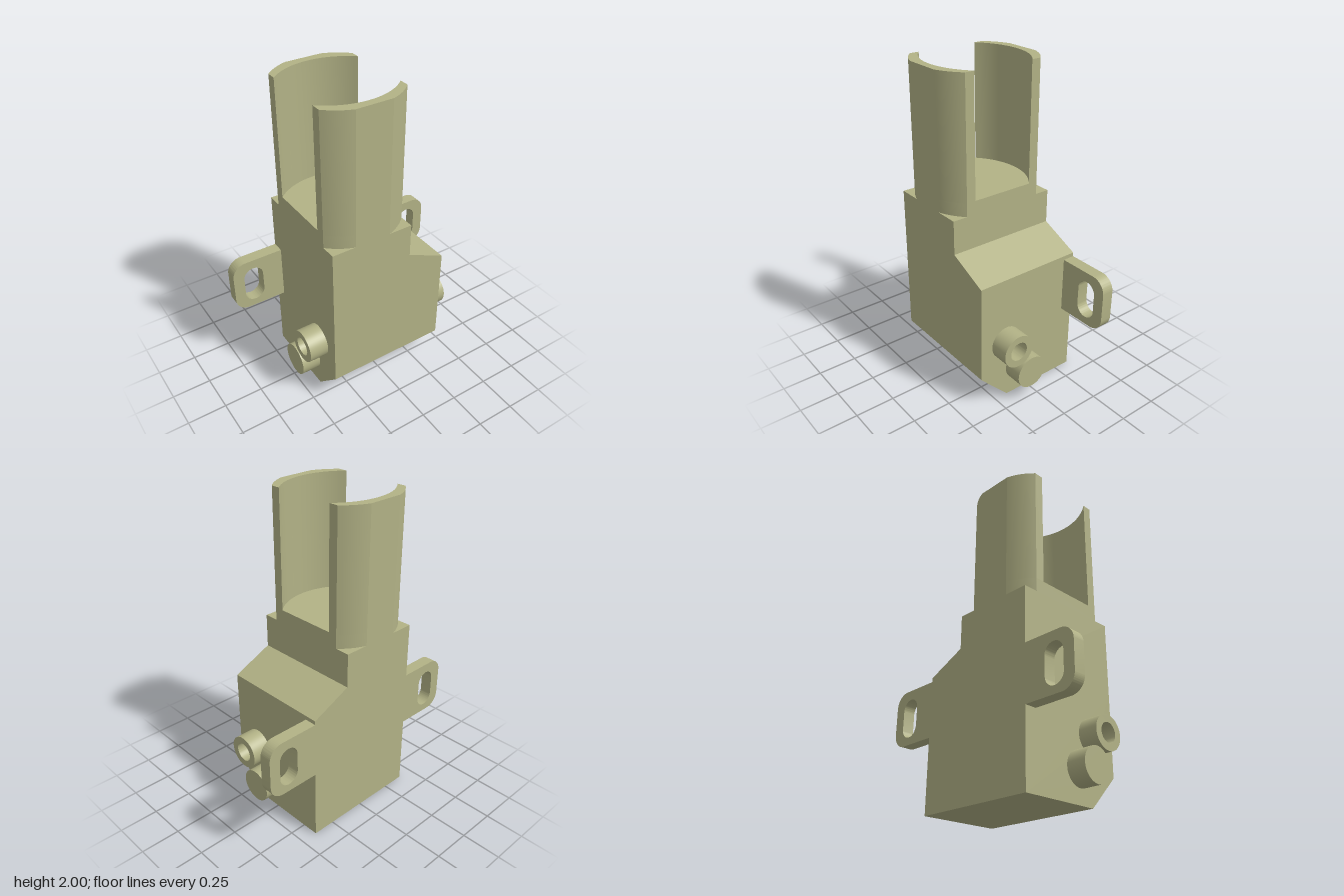
import * as THREE from 'three';
import { toCreasedNormals } from 'three/addons/utils/BufferGeometryUtils.js';

const W = 0.395, D = 0.355;            // half width and half depth of the body
const TX = 0.14, CX = (TX - W) / 2;    // right edge and centre line of the tower
const STEP = 0.7, LEDGE = 1.165, FLOOR = 1.25, TOP = 2;

const polygon = (points) => new THREE.Shape(points.map(([x, y]) => new THREE.Vector2(x, y)));

const circle = (x, y, r) => new THREE.Path().absarc(x, y, r, 0, Math.PI * 2, true);

function extrude(shape, depth) {
  return new THREE.ExtrudeGeometry(shape, { depth, bevelEnabled: false, curveSegments: 24 });
}

// Points of a circular arc bulging to +z, evaluated between two x positions
function arc(r, zc, x0, x1, n) {
  return Array.from({ length: n + 1 }, (_, i) => {
    const x = x0 + (x1 - x0) * i / n;
    return [x, zc + Math.sqrt(r * r - (x - CX) ** 2)];
  });
}

export function createModel() {
  const model = new THREE.Group();
  model.name = 'bracketHousing';
  const material = new THREE.MeshStandardMaterial({ color: 0xb2b286 });

  function add(name, geometry) {
    const mesh = new THREE.Mesh(toCreasedNormals(geometry, 0.2), material);
    mesh.name = name;
    model.add(mesh);
  }

  // Side profiles are drawn with x = -z and extruded along x
  const alongX = (shape, x0, x1) => extrude(shape, x1 - x0).rotateY(Math.PI / 2).translate(x0, 0, 0);
  // Plan profiles are extruded upwards
  const alongY = (shape, y0, y1) => extrude(shape, y1 - y0).rotateX(-Math.PI / 2).translate(0, y0, 0);

  // Lower body: chamfered front edge and a bore right through it
  const lower = polygon([[D, 0], [D, STEP], [-D, STEP], [-D, 0.2], [-0.16, 0]]);
  lower.holes.push(circle(-0.17, 0.4, 0.06));
  add('lowerBody', alongX(lower, -W, W));

  // Upper body: sloped shoulder on the left side
  const upper = polygon([[-W, STEP], [W, STEP], [W, 0.835], [TX, 0.95], [TX, LEDGE], [-W, LEDGE]]);
  add('upperBody', extrude(upper, 2 * D).translate(0, 0, -D));

  // Tower: curved outside, cut flat where it meets the front and back faces
  const R = 0.373, flat = Math.sqrt(R * R - D * D);
  const outer = [...arc(R, 0, -W, CX - flat, 8), ...arc(R, 0, CX + flat, TX, 8)];
  const inner = arc(0.394, -0.089, TX, -W, 24);
  const mirrored = outer.map(([x, z]) => [x, -z]).reverse();
  add('towerBase', alongY(polygon([...outer, ...mirrored]), LEDGE, FLOOR));
  const wall = polygon([...outer, ...inner]);
  add('backWall', alongY(wall, FLOOR, TOP));
  add('frontWall', alongY(wall, FLOOR, TOP).rotateY(Math.PI).translate(2 * CX, 0, 0));

  // Slotted mounting ear
  const ear = new THREE.Shape();
  const x1 = 0.733, y0 = 0.457, y1 = 0.81, r = 0.09;
  ear.moveTo(W, y0);
  ear.lineTo(x1 - r, y0);
  ear.absarc(x1 - r, y0 + r, r, -Math.PI / 2, 0);
  ear.absarc(x1 - r, y1 - r, r, 0, Math.PI / 2);
  ear.lineTo(W, y1);
  const slot = new THREE.Path();
  slot.absarc(0.597, 0.685, 0.065, 0, Math.PI);
  slot.absarc(0.597, 0.57, 0.065, Math.PI, Math.PI * 2);
  slot.closePath();
  ear.holes.push(slot);

  // Side fittings: ears, hollow bosses around the bore, and solid pegs
  const boss = new THREE.Shape().absarc(-0.17, 0.4, 0.105, 0, Math.PI * 2);
  boss.holes.push(circle(-0.17, 0.4, 0.06));
  const peg = new THREE.Shape().absarc(-0.063, 0.198, 0.105, 0, Math.PI * 2);
  for (const [side, s] of [['left', 1], ['right', -1]]) {
    const earGeometry = extrude(ear, 0.077);
    if (s > 0) earGeometry.translate(0, 0, -D);
    else earGeometry.rotateY(Math.PI).translate(0, 0, 0.077 - D);
    add(side + 'Ear', earGeometry);
    const [a, b] = s > 0 ? [W, 0.517] : [-0.517, -W];
    add(side + 'Boss', alongX(boss, a, b));
    add(side + 'Peg', alongX(peg, a, b));
  }
  return model;
}
